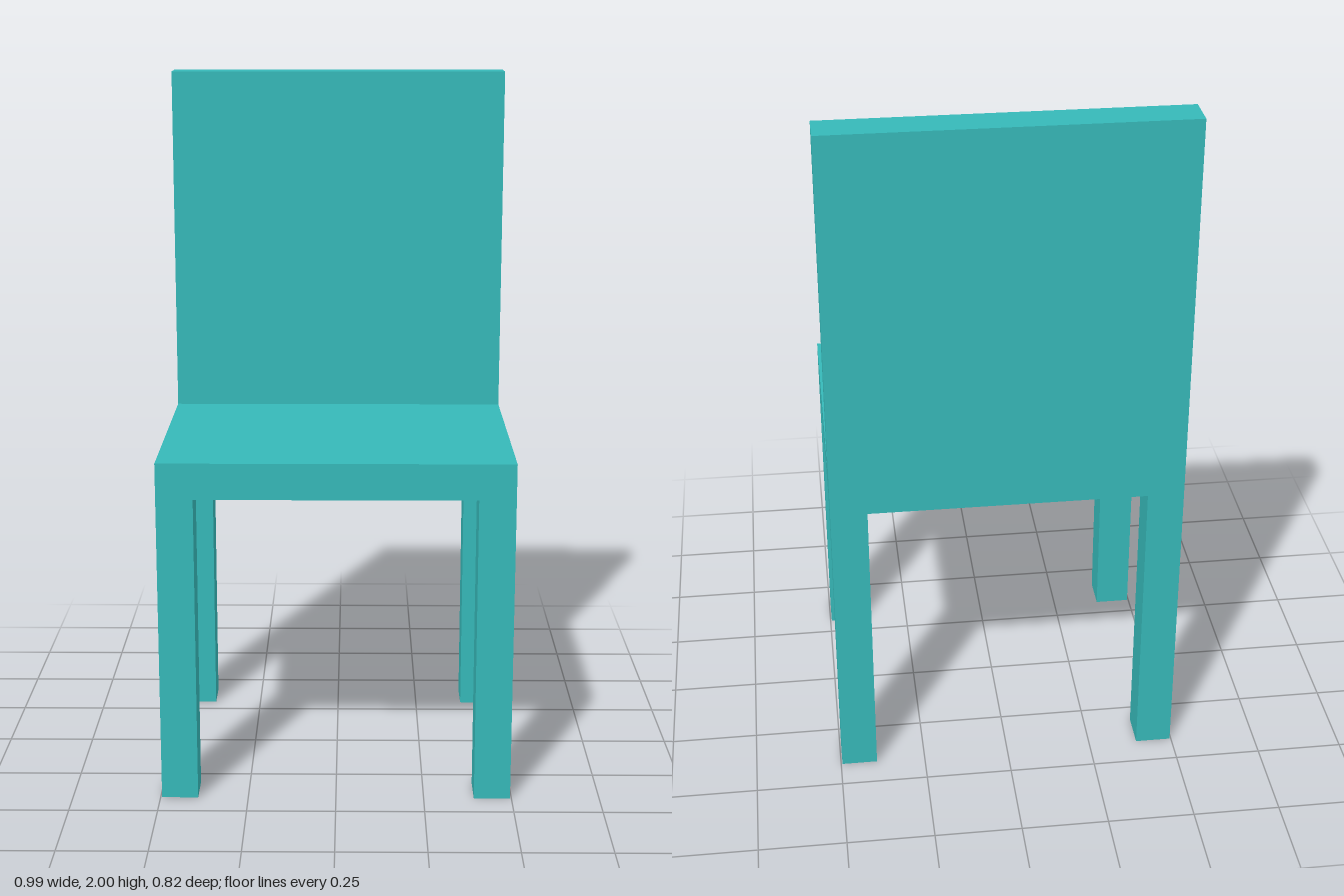
import * as THREE from 'three';

const WIDTH = 0.992, DEPTH = 0.824, THICK = 0.103;
const SEAT_TOP = 0.985, HEIGHT = 2;

export function createModel() {
  const chair = new THREE.Group();
  chair.name = 'chair';
  const teal = new THREE.MeshStandardMaterial({ color: 0x36b8b8 });
  teal.name = 'teal';

  // Box standing on height y
  const addBox = (name, w, h, d, x, y, z) => {
    const mesh = new THREE.Mesh(new THREE.BoxGeometry(w, h, d), teal);
    mesh.name = name;
    mesh.position.set(x, y + h / 2, z);
    chair.add(mesh);
  };

  const seatBottom = SEAT_TOP - THICK;
  const legX = (WIDTH - THICK) / 2;
  const legZ = (DEPTH - THICK) / 2;

  // Seat slab, with the backrest rising from its rear edge
  addBox('seat', WIDTH, THICK, DEPTH, 0, seatBottom, 0);
  addBox('backrest', WIDTH, HEIGHT - SEAT_TOP, THICK, 0, SEAT_TOP, -legZ);

  // Four square legs, flush with the seat corners
  for (const [side, sx] of [['Left', 1], ['Right', -1]]) {
    for (const [end, sz] of [['front', 1], ['back', -1]]) {
      addBox(`${end}${side}Leg`, THICK, seatBottom, THICK, sx * legX, 0, sz * legZ);
    }
  }
  return chair;
}
